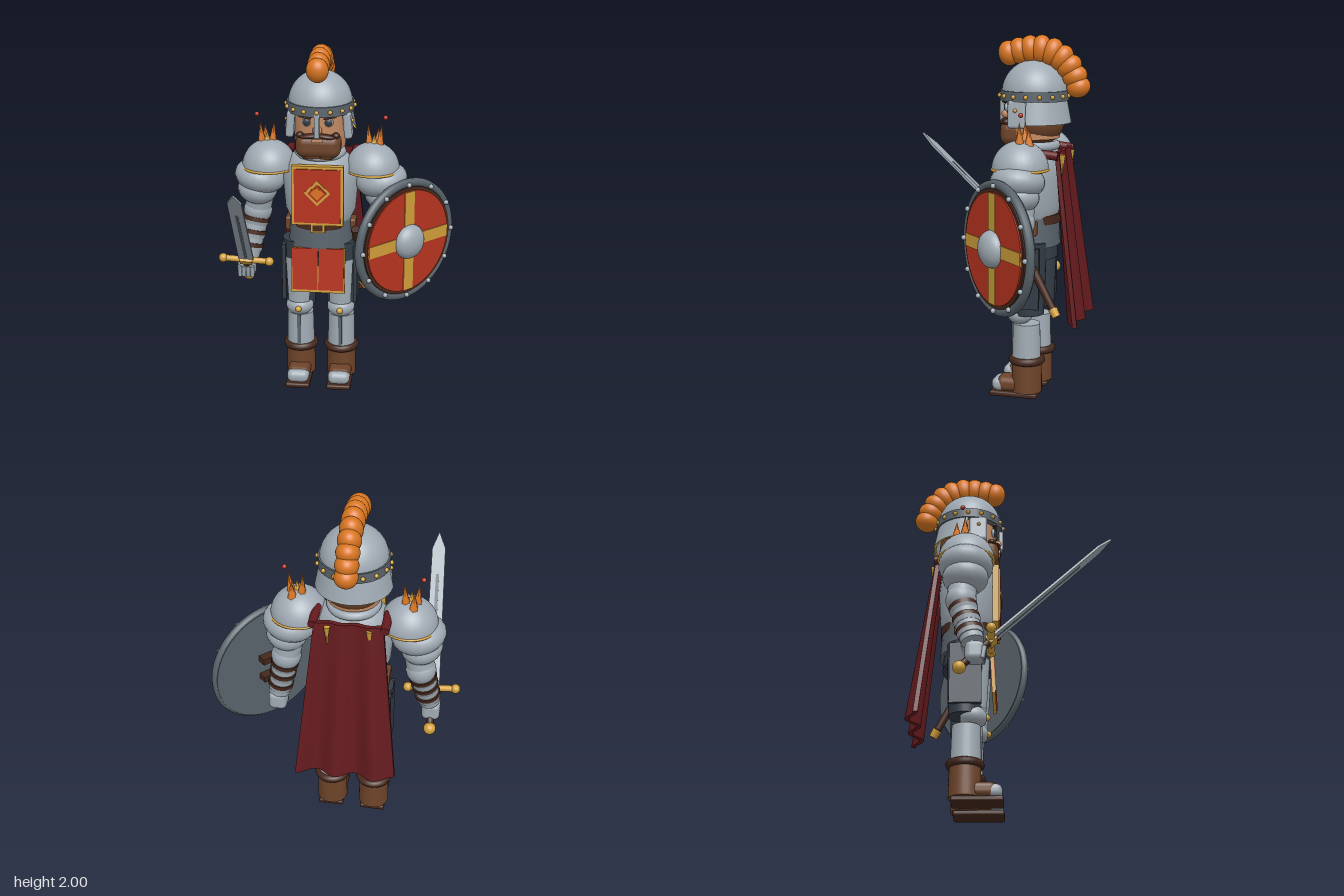
import * as THREE from 'three';
import { RoundedBoxGeometry } from 'three/addons/geometries/RoundedBoxGeometry.js';

const paint = (name, color, side = THREE.FrontSide) => {
  const m = new THREE.MeshStandardMaterial({ color, side });
  m.name = name;
  return m;
};
const V = (x, y, z) => new THREE.Vector3(x, y, z);

export function createModel() {
  const steel = paint('steel', 0xa1abb4, THREE.DoubleSide), darkSteel = paint('dark steel', 0x5a646c);
  const red = paint('red', 0xb83420), crimson = paint('crimson', 0x641a1e);
  const gold = paint('gold', 0xd2a03c), brown = paint('leather', 0x6e4429);
  const darkBrown = paint('dark leather', 0x45281c), orange = paint('orange', 0xd97621);
  const skin = paint('skin', 0xc98e66), navy = paint('navy', 0x343d47);

  const root = new THREE.Group();
  root.name = 'knight';
  const body = new THREE.Group();
  body.name = 'body';
  body.position.x = -0.087;
  root.add(body);

  // helpers
  const add = (name, geo, mat, x, y, z, parent = body) => {
    const m = new THREE.Mesh(geo, mat);
    m.name = name;
    m.position.set(x, y, z);
    parent.add(m);
    return m;
  };
  const ball = (name, mat, r, x, y, z, s = [1, 1, 1], parent = body) => {
    const m = add(name, new THREE.SphereGeometry(r, 24, 16), mat, x, y, z, parent);
    m.scale.set(...s);
    return m;
  };
  const box = (name, mat, w, h, d, x, y, z, parent = body) =>
    add(name, new THREE.BoxGeometry(w, h, d), mat, x, y, z, parent);
  const soft = (name, mat, w, h, d, r, x, y, z) =>
    add(name, new RoundedBoxGeometry(w, h, d, 3, r), mat, x, y, z);
  const drum = (name, mat, rt, rb, y0, y1, x, z, seg = 28) =>
    add(name, new THREE.CylinderGeometry(rt, rb, y1 - y0, seg), mat, x, (y0 + y1) / 2, z);
  const rod = (name, mat, a, b, ra, rb, parent = body, seg = 20) => {
    const m = add(name, new THREE.CylinderGeometry(rb, ra, a.distanceTo(b), seg), mat, 0, 0, 0, parent);
    m.position.copy(a).lerp(b, 0.5);
    m.quaternion.setFromUnitVectors(V(0, 1, 0), b.clone().sub(a).normalize());
    return m;
  };
  const ring = (name, mat, r, t, x, y, z) => {
    const m = add(name, new THREE.TorusGeometry(r, t, 8, 32), mat, x, y, z);
    m.rotation.x = Math.PI / 2;
    return m;
  };
  const Z = -0.23; // depth of the body axis

  // torso
  const chest = add('breastplate', new THREE.LatheGeometry([[0.17, 1], [0.2, 1.07], [0.213, 1.24],
    [0.2, 1.34], [0.15, 1.39], [0.09, 1.41], [0, 1.415]].map(p => new THREE.Vector2(...p)), 32), steel, 0, 0, Z);
  chest.scale.z = 0.76;
  drum('mailWaist', darkSteel, 0.172, 0.185, 0.85, 1.03, 0, Z).scale.z = 0.8;
  drum('belt', darkBrown, 0.168, 0.168, 0.975, 1.025, 0, Z).scale.z = 0.88;
  box('buckle', gold, 0.08, 0.06, 0.02, 0, 1, -0.075);
  box('buckleHole', darkBrown, 0.055, 0.038, 0.008, 0, 1, -0.063);
  ring('collar', steel, 0.12, 0.025, 0, 1.4, Z);
  drum('neck', darkBrown, 0.08, 0.09, 1.36, 1.45, 0, Z);
  box('chestPanelTrim', gold, 0.29, 0.345, 0.035, 0, 1.19, -0.075);
  box('chestPanel', red, 0.258, 0.313, 0.009, 0, 1.19, -0.055);
  [[gold, 0.104, -0.051], [red, 0.076, -0.048], [orange, 0.055, -0.045]].forEach(([m, s, z]) => {
    box('chestDiamond', m, s, s, 0.008, 0, 1.21, z).rotation.z = Math.PI / 4;
  });

  // head
  drum('face', skin, 0.155, 0.14, 1.44, 1.68, 0, Z);
  ball('backHair', brown, 0.155, 0, 1.53, -0.25, [1, 0.85, 0.95]);
  soft('beard', brown, 0.25, 0.135, 0.16, 0.05, 0, 1.468, -0.14);
  soft('chinBeard', brown, 0.19, 0.06, 0.12, 0.028, 0, 1.418, -0.14);
  ball('nose', skin, 0.026, 0, 1.565, -0.07);
  box('nasalGuard', steel, 0.028, 0.14, 0.022, 0, 1.6, -0.05);
  box('lip', skin, 0.06, 0.02, 0.009, 0, 1.51, -0.058);
  for (const s of [-1, 1]) {
    ball('moustache', darkBrown, 0.04, s * 0.045, 1.53, -0.075, [1.35, 0.36, 0.6]).rotation.z = -s * 0.12;
    ball('moustacheTip', darkBrown, 0.022, s * 0.1, 1.53, -0.1, [1, 0.8, 1]);
    ball('eye', steel, 0.026, s * 0.06, 1.607, -0.093, [1, 1, 0.5]);
    ball('iris', navy, 0.02, s * 0.06, 1.607, -0.085, [1, 1, 0.5]);
    box('eyebrow', darkBrown, 0.07, 0.015, 0.02, s * 0.068, 1.638, -0.085).rotation.z = s * 0.2;
    soft('cheekGuard', steel, 0.045, 0.15, 0.1, 0.015, s * 0.158, 1.578, -0.175).rotation.z = s * 0.08;
    ball('cheekRivet', gold, 0.01, s * 0.182, 1.6, -0.17);
  }

  // helmet
  add('helmetDome', new THREE.SphereGeometry(0.178, 36, 16, 0, Math.PI * 2, 0, Math.PI / 2), steel, 0, 1.685, Z);
  drum('helmetBand', darkSteel, 0.186, 0.188, 1.645, 1.7, 0, Z, 36);
  for (let i = 0; i < 16; i++) {
    const a = (i / 16) * Math.PI * 2;
    ball('bandRivet', gold, 0.012, Math.sin(a) * 0.19, 1.672, Z + Math.cos(a) * 0.19);
  }
  add('neckGuard', new THREE.CylinderGeometry(0.178, 0.203, 0.13, 28, 1, true, Math.PI / 2, Math.PI), steel, 0, 1.59, Z);
  add('neckGuardTrim', new THREE.TorusGeometry(0.192, 0.007, 6, 28, Math.PI), gold, 0, 1.533, Z).rotation.x = -Math.PI / 2;

  // plume of overlapping tufts
  const plume = new THREE.CatmullRomCurve3([V(0, 1.895, -0.085), V(0, 1.918, -0.2), V(0, 1.912, -0.3),
    V(0, 1.865, -0.39), V(0, 1.795, -0.445), V(0, 1.72, -0.475)]);
  for (let i = 0; i < 9; i++) {
    const t = plume.getTangentAt(i / 8);
    const b = ball('plumeTuft', orange, 0.08, 0, 0, 0, [0.77, 1 - Math.abs(i - 3.5) * 0.04, 0.72]);
    b.position.copy(plume.getPointAt(i / 8));
    b.quaternion.setFromUnitVectors(V(0, 0, -1), t);
  }

  // legs, feet and skirt
  for (const s of [-1, 1]) {
    const x = s * 0.12;
    drum('thigh', navy, 0.1, 0.086, 0.475, 0.88, x, Z - 0.005);
    add('thighPlate', new THREE.CylinderGeometry(0.09, 0.075, 0.28, 20, 1, true, -0.95, 1.9), steel, x, 0.65, Z + 0.035);
    box('sideTasset', navy, 0.022, 0.34, 0.17, s * 0.205, 0.69, Z);
    box('skirtTrim', gold, 0.152, 0.265, 0.018, s * 0.077, 0.732, -0.09).rotation.x = -0.06;
    box('skirtPanel', red, 0.145, 0.25, 0.009, s * 0.0745, 0.742, -0.08).rotation.x = -0.06;
    ball('kneeGuard', steel, 0.08, x, 0.472, -0.188, [1, 0.75, 0.9]);
    ball('kneeStud', gold, 0.018, x, 0.47, -0.118);
    drum('shin', steel, 0.075, 0.08, 0.22, 0.42, x, Z + 0.005);
    box('shinRidge', darkSteel, 0.02, 0.19, 0.014, x, 0.325, -0.148);
    drum('boot', brown, 0.082, 0.085, 0.03, 0.21, x, -0.228);
    ring('bootCuff', darkBrown, 0.08, 0.022, x, 0.21, -0.228);
    soft('foot', brown, 0.13, 0.085, 0.17, 0.035, x, 0.068, -0.15);
    soft('toeCap', steel, 0.128, 0.076, 0.09, 0.034, x, 0.063, -0.08);
    soft('sole', darkBrown, 0.14, 0.028, 0.27, 0.01, x, 0.014, -0.163);
    soft('beltPouch', brown, 0.045, 0.08, 0.09, 0.012, s * 0.18, 0.965, -0.25);
  }
  drum('hips', navy, 0.18, 0.19, 0.78, 0.88, 0, Z).scale.z = 0.7;

  // shoulders and arms
  const spikes = [[0.318, -0.283, 0.1], [0.268, -0.25, 0.13], [0.3, -0.23, 0.08], [0.335, -0.237, 0.13]];
  for (const s of [-1, 1]) {
    const P = (x, y, z) => V(s * x, y, z);
    add('pauldron', new THREE.SphereGeometry(0.152, 32, 12, 0, Math.PI * 2, 0, Math.PI / 2), steel, s * 0.292, 1.305, Z);
    ring('pauldronTrim', gold, 0.149, 0.008, s * 0.294, 1.305, Z);
    ball('pauldronLame', steel, 0.146, s * 0.343, 1.245, Z, [1, 0.66, 1]).rotation.z = s * 0.2;
    ball('lowerLame', steel, 0.122, s * 0.362, 1.165, Z, [0.92, 0.7, 1]).rotation.z = s * 0.2;
    spikes.forEach(([x, z, h], i) => {
      const c = add('shoulderSpike', new THREE.ConeGeometry(0.027, h, 6), i === 2 ? gold : orange, s * x, 1.43 + h / 2, z);
      c.rotation.z = -s * (x - 0.3) * 2.5;
    });
    ball('spikeSpark', red, 0.013, s * 0.36, 1.597, -0.25);

    const elbow = P(0.365, 1.03, -0.25), wrist = P(0.413, 0.77, s < 0 ? -0.185 : -0.24);
    rod('upperArm', steel, P(0.32, 1.3, Z), elbow, 0.085, 0.075);
    ball('elbow', steel, 0.082, ...elbow.toArray());
    rod('forearm', steel, elbow, wrist, 0.072, 0.06);
    [0.15, 0.42, 0.7].forEach((t, i) => {
      const a = elbow.clone().lerp(wrist, t), b = elbow.clone().lerp(wrist, t + 0.09);
      rod('armStrap', darkBrown, a, b, 0.077 - i * 0.003, 0.076 - i * 0.003);
      rod('vambraceLame', steel, b, elbow.clone().lerp(wrist, t + 0.18), 0.076 - i * 0.003, 0.066);
    });
    const hand = wrist.clone().add(P(0.01, -0.065, 0.012));
    soft('gauntlet', steel, 0.1, 0.11, 0.1, 0.03, ...hand.toArray());
    for (let i = 0; i < 4; i++)
      rod('finger', steel, V(hand.x - 0.036 + i * 0.024, hand.y + 0.02, hand.z + 0.05),
        V(hand.x - 0.036 + i * 0.024, hand.y - 0.045, hand.z + 0.04), 0.013, 0.012, body, 8);
  }

  // cape, a thick sheet that widens and ripples towards the hem
  const capeGeo = new THREE.BoxGeometry(1, 1, 0.025, 40, 12, 1);
  const p = capeGeo.attributes.position;
  for (let i = 0; i < p.count; i++) {
    const u = p.getX(i) * 2, t = 0.5 - p.getY(i);
    p.setXYZ(i, u * (0.18 + 0.09 * t), 1.38 - 0.93 * t,
      p.getZ(i) - 0.395 - 0.11 * t - (0.006 + 0.02 * t) * Math.cos((u - 0.2) * 8));
  }
  capeGeo.computeVertexNormals();
  add('cape', capeGeo, crimson, 0, 0, 0);
  for (const s of [-1, 1]) {
    rod('capeStrap', crimson, V(s * 0.188, 1.365, -0.41), V(s * 0.188, 1.38, -0.265), 0.024, 0.024);
    add('capeClasp', new THREE.ConeGeometry(0.018, 0.12, 6), gold, s * 0.11, 1.305, -0.415).rotation.x = Math.PI;
  }

  // scabbard
  const tip = V(0.235, 0.54, -0.4), mouth = V(0.205, 0.96, -0.17);
  rod('scabbard', darkBrown, mouth, tip, 0.026, 0.02);
  rod('scabbardTip', gold, tip, V(0.245, 0.5, -0.425), 0.026, 0.022);

  // sword, built along +y and aimed forward and up
  const sword = new THREE.Group();
  sword.name = 'sword';
  sword.position.set(-0.5, 0.78, -0.09);
  sword.quaternion.setFromUnitVectors(V(0, 1, 0), V(0.055, 0.615, 0.633).normalize());
  root.add(sword);
  const blade = new THREE.Shape([[-0.043, 0], [0.043, 0], [0.037, 0.79], [0, 0.884], [-0.037, 0.79]]
    .map(q => new THREE.Vector2(...q)));
  add('blade', new THREE.ExtrudeGeometry(blade, { depth: 0.012, bevelEnabled: false }), steel, 0, 0, -0.006, sword);
  box('fuller', darkSteel, 0.018, 0.6, 0.015, 0, 0.34, 0, sword);
  rod('crossguard', gold, V(-0.135, 0, 0), V(0.135, 0, 0), 0.018, 0.018, sword);
  for (const s of [-1, 1]) ball('guardKnob', gold, 0.026, s * 0.132, 0, 0, [1, 1, 1], sword);
  box('guardBlock', gold, 0.07, 0.045, 0.045, 0, 0, 0, sword);
  rod('grip', darkBrown, V(0, 0, 0), V(0, -0.21, 0), 0.02, 0.02, sword);
  ball('pommel', gold, 0.034, 0, -0.225, 0, [1, 1, 1], sword);

  // round shield, facing local +z
  const shield = new THREE.Group();
  shield.name = 'shield';
  shield.position.set(0.395, 0.912, -0.165);
  shield.rotation.y = Math.PI / 4;
  root.add(shield);
  const disc = (name, mat, r, d, z) => {
    add(name, new THREE.CylinderGeometry(r, r, d, 48), mat, 0, 0, z, shield).rotation.x = Math.PI / 2;
  };
  disc('shieldBack', darkSteel, 0.345, 0.03, -0.01);
  disc('shieldLeather', darkBrown, 0.318, 0.026, 0.015);
  disc('shieldFace', red, 0.299, 0.009, 0.031);
  add('shieldRim', new THREE.TorusGeometry(0.336, 0.025, 10, 56), darkSteel, 0, 0, 0.002, shield);
  box('shieldCrossBar', gold, 0.59, 0.07, 0.009, 0, 0, 0.036, shield);
  box('shieldCrossPost', gold, 0.07, 0.59, 0.009, 0, 0, 0.036, shield);
  ball('shieldBoss', steel, 0.1, 0, 0, 0.04, [1, 1, 0.65], shield);
  for (let i = 0; i < 12; i++) {
    const a = (i / 12) * Math.PI * 2;
    ball('shieldRivet', steel, 0.014, Math.sin(a) * 0.332, Math.cos(a) * 0.332, 0.031, [1, 1, 1], shield);
  }
  for (const s of [-1, 1]) box('shieldStrap', darkBrown, 0.16, 0.035, 0.05, 0, s * 0.06, -0.05, shield);

  return root;
}
